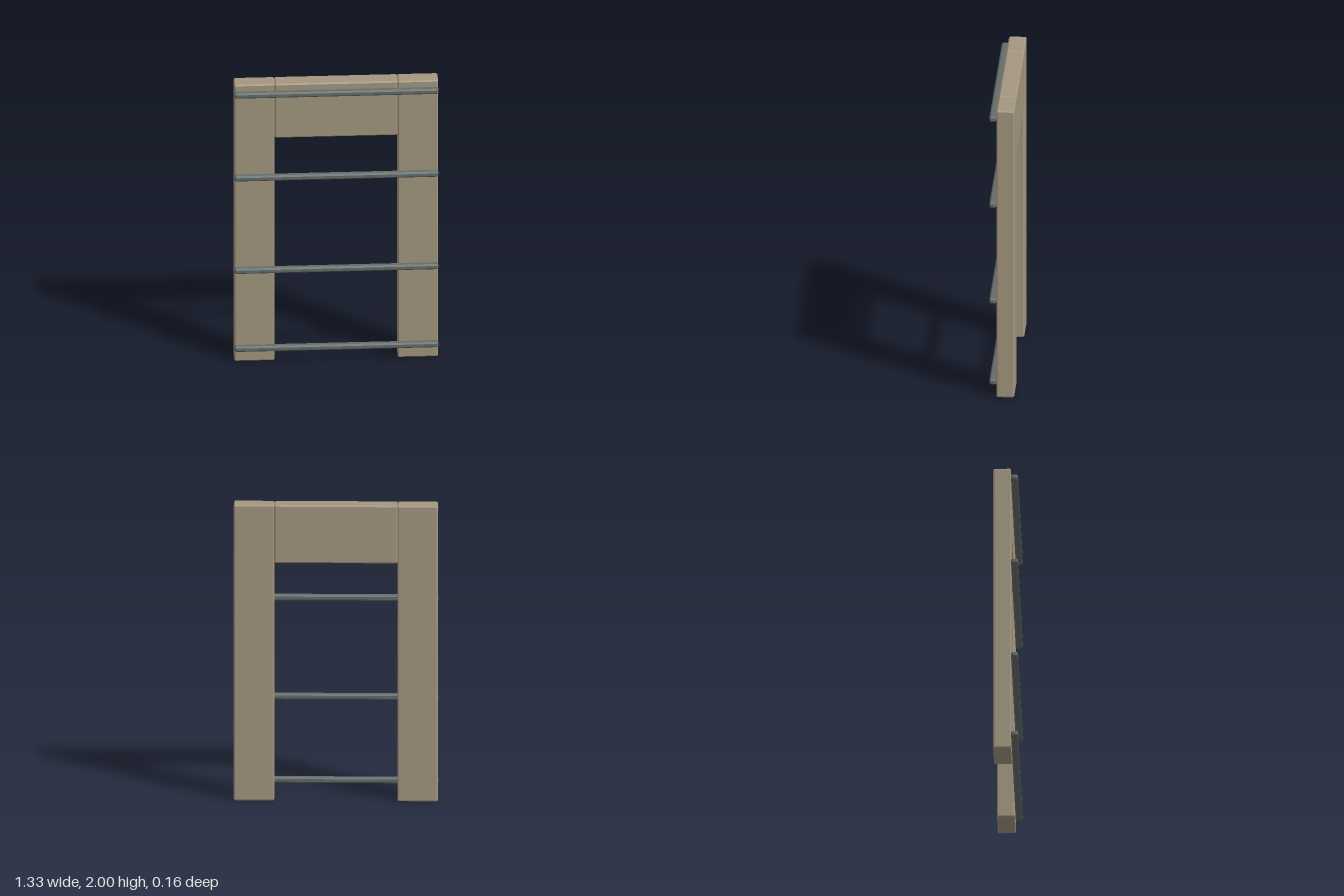
import * as THREE from 'three';
import { ConvexGeometry } from 'three/addons/geometries/ConvexGeometry.js';

// Box with every edge cut by a flat chamfer c, as the hull of its 24 corners
function chamferedBox(w, h, d, c) {
  const half = [w / 2, h / 2, d / 2];
  const points = [];
  for (const sx of [-1, 1]) for (const sy of [-1, 1]) for (const sz of [-1, 1]) {
    for (let full = 0; full < 3; full++) {
      const p = half.map((v, i) => (i === full ? v : v - c));
      points.push(new THREE.Vector3(p[0] * sx, p[1] * sy, p[2] * sz));
    }
  }
  return new ConvexGeometry(points);
}

export function createModel() {
  const group = new THREE.Group();
  const wood = new THREE.MeshStandardMaterial({ color: 0xa39780, flatShading: true });
  const metal = new THREE.MeshStandardMaterial({ color: 0x646c69, flatShading: true });

  const add = (name, geometry, material, x, y, z) => {
    const mesh = new THREE.Mesh(geometry, material);
    mesh.name = name;
    mesh.position.set(x, y, z);
    group.add(mesh);
  };

  const halfWidth = 0.663, inner = 0.4, height = 2;
  const back = -0.081, face = 0.035, front = 0.081;
  const depth = face - back, midZ = (face + back) / 2;
  const bevel = 0.008;

  // Upright posts
  const post = chamferedBox(halfWidth - inner, height, depth, bevel);
  for (const side of [-1, 1]) {
    add(side > 0 ? 'leftPost' : 'rightPost', post, wood, side * (halfWidth + inner) / 2, height / 2, midZ);
  }

  // Lintel between the post tops
  const lintelHeight = 0.39;
  add('lintel', chamferedBox(inner * 2, lintelHeight, depth, bevel), wood, 0, height - lintelHeight / 2, midZ);

  // Horizontal bars across the front
  const bar = chamferedBox(halfWidth * 2, 0.038, front - face, 0.01);
  [0.105, 0.67, 1.34, 1.94].forEach((y, i) => {
    add(`crossBar${i + 1}`, bar, metal, 0, y, (front + face) / 2);
  });

  return group;
}
